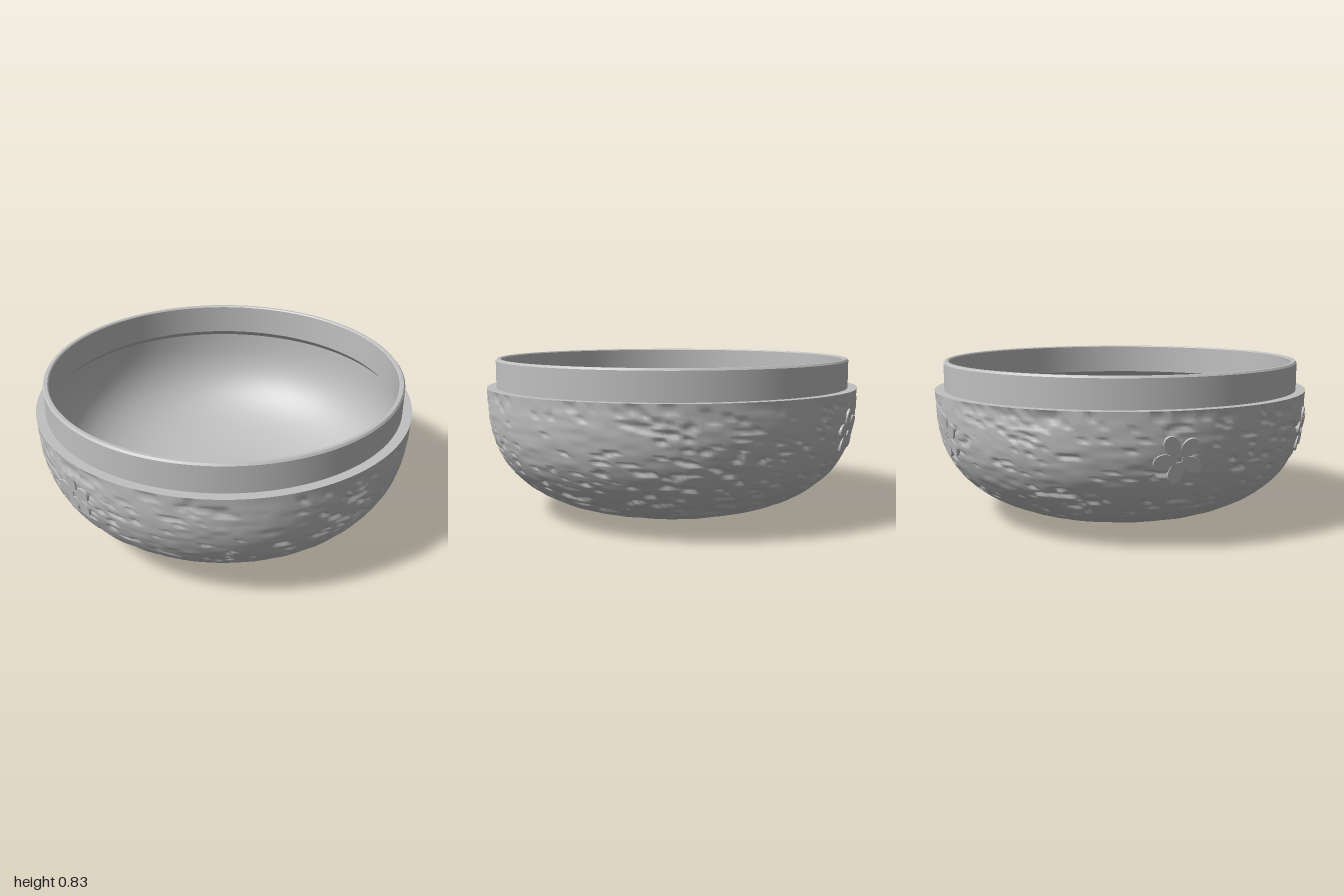
import * as THREE from 'three';
import { mergeVertices } from 'three/addons/utils/BufferGeometryUtils.js';

const WALL_TOP = 0.68, POWER = 2.75;

// Smooth seeded 3D value noise in 0..1
function hash(x, y, z) {
  let h = Math.imul(x, 374761393) ^ Math.imul(y, 668265263) ^ Math.imul(z, 1274126177);
  h = Math.imul(h ^ (h >>> 13), 1103515245);
  return ((h ^ (h >>> 16)) >>> 0) / 4294967295;
}
function noise(x, y, z) {
  const i = Math.floor(x), j = Math.floor(y), k = Math.floor(z);
  const s = THREE.MathUtils.smoothstep, l = THREE.MathUtils.lerp;
  const u = s(x - i, 0, 1), v = s(y - j, 0, 1), w = s(z - k, 0, 1);
  const row = (b, c) => l(hash(i, b, c), hash(i + 1, b, c), u);
  return l(l(row(j, k), row(j + 1, k), v), l(row(j, k + 1), row(j + 1, k + 1), v), w);
}

function lathe(points, segments = 160) {
  return new THREE.LatheGeometry(points.map(([r, y]) => new THREE.Vector2(r, y)), segments);
}

// Full, flat-bottomed bowl curve from the rim down to the axis
function bowlCurve(radius, top, depth, steps) {
  return Array.from({ length: steps + 1 }, (_, i) => {
    const t = i / steps * Math.PI / 2;
    const r = i === steps ? 0 : Math.cos(t) ** (2 / POWER);
    return [radius * r, top - depth * Math.sin(t) ** (2 / POWER)];
  });
}

// Outward direction of the outer wall at a point
function wallNormal(p) {
  const r = Math.hypot(p.x, p.z), a = Math.atan2(p.x, p.z);
  const out = r ** (POWER - 1);
  const down = Math.max(0, (WALL_TOP - p.y) / WALL_TOP) ** (POWER - 1) / WALL_TOP;
  return new THREE.Vector3(Math.sin(a) * out, -down, Math.cos(a) * out).normalize();
}

// Rough outside: small streaky dents pressed into the wall
function roughShell() {
  let geo = lathe(bowlCurve(1, WALL_TOP, WALL_TOP, 120).reverse(), 320);
  geo.deleteAttribute('uv');
  geo.deleteAttribute('normal');
  geo = mergeVertices(geo, 1e-5);
  const pos = geo.attributes.position, p = new THREE.Vector3();
  for (let i = 0; i < pos.count; i++) {
    p.fromBufferAttribute(pos, i);
    const n = wallNormal(p);
    const ripple = noise(p.x * 13 + 50, p.y * 34 + 50, p.z * 13 + 50);
    const streak = noise(p.x * 18 + 90, p.y * 60 + 90, p.z * 18 + 90);
    const patch = noise(p.x * 4 + 20, p.y * 5 + 20, p.z * 4 + 20);
    const dent = THREE.MathUtils.smoothstep(streak + 0.3 * (patch - 0.5), 0.72, 0.8);
    const fade = THREE.MathUtils.smoothstep(WALL_TOP - p.y, 0, 0.03);
    p.addScaledVector(n, -fade * (0.005 * ripple + 0.012 * dent));
    pos.setXYZ(i, p.x, p.y, p.z);
  }
  geo.computeVertexNormals();
  return geo;
}

// Five-petalled flower plate with a pentagonal hole
function flowerGeometry() {
  const shape = new THREE.Shape(), N = 80;
  for (let i = 0; i < N; i++) {
    const a = i / N * Math.PI * 2;
    const r = 0.045 + 0.075 * Math.pow(Math.abs(Math.cos(2.5 * a)), 0.75);
    const x = Math.sin(a) * r, y = Math.cos(a) * r;
    if (i) shape.lineTo(x, y); else shape.moveTo(x, y);
  }
  const hole = new THREE.Path();
  for (let i = 0; i < 5; i++) {
    const a = i / 5 * Math.PI * 2;
    const x = Math.cos(a) * 0.022, y = Math.sin(a) * 0.022;
    if (i) hole.lineTo(x, y); else hole.moveTo(x, y);
  }
  shape.holes.push(hole);
  return new THREE.ExtrudeGeometry(shape, { depth: 0.018, bevelEnabled: false });
}

export function createModel() {
  const model = new THREE.Group();
  model.name = 'bowl';
  const grey = new THREE.MeshStandardMaterial({ color: 0xc0c0c0 });
  grey.name = 'grey';
  const add = (name, geo, parent = model) => {
    const mesh = new THREE.Mesh(geo, grey);
    mesh.name = name;
    parent.add(mesh);
    return mesh;
  };

  add('roughShell', roughShell());

  // Ledge, neck and rim: one sharp-edged band per profile segment
  const collar = new THREE.Group();
  collar.name = 'collar';
  model.add(collar);
  const profile = [[1, 0.68], [0.95, 0.68], [0.95, 0.822], [0.942, 0.832],
    [0.926, 0.832], [0.92, 0.826], [0.92, 0.665], [0.955, 0.63]];
  const names = ['ledge', 'neckOutside', 'rimOuterChamfer', 'rimTop', 'rimInnerChamfer', 'neckInside', 'neckUndercut'];
  names.forEach((name, i) => add(name, lathe([profile[i], profile[i + 1]]), collar));

  // Smooth inside with a gentle rise and a low round nub in the middle of the floor
  const inside = bowlCurve(0.955, 0.63, 0.57, 70).filter(([r]) => r > 0.14);
  for (let i = 0; i <= 16; i++) inside.push([0.13 * (1 - i / 16), 0.062]);
  add('inside', lathe(inside.map(([r, y]) => {
    const rise = 0.012 * Math.exp(-((r / 0.25) ** 2));
    const nub = r < 0.12 ? 0.01 * (1 + Math.cos(Math.PI * r / 0.12)) : 0;
    return [r, y + rise + nub];
  })));

  // Flowers set into the outer wall: [angle in degrees, height, turn]
  const flower = flowerGeometry();
  for (const [deg, y, turn] of [[-41, 0.49, 0.15], [-97, 0.46, 0.5], [-173, 0.48, 0.2]]) {
    const a = THREE.MathUtils.degToRad(deg);
    const r = (1 - ((WALL_TOP - y) / WALL_TOP) ** POWER) ** (1 / POWER);
    const p = new THREE.Vector3(Math.sin(a) * r, y, Math.cos(a) * r);
    const n = wallNormal(p);
    const mesh = add('flower', flower);
    mesh.position.copy(p).addScaledVector(n, -0.017);
    mesh.lookAt(mesh.position.clone().add(n));
    mesh.rotateZ(turn);
  }
  return model;
}
